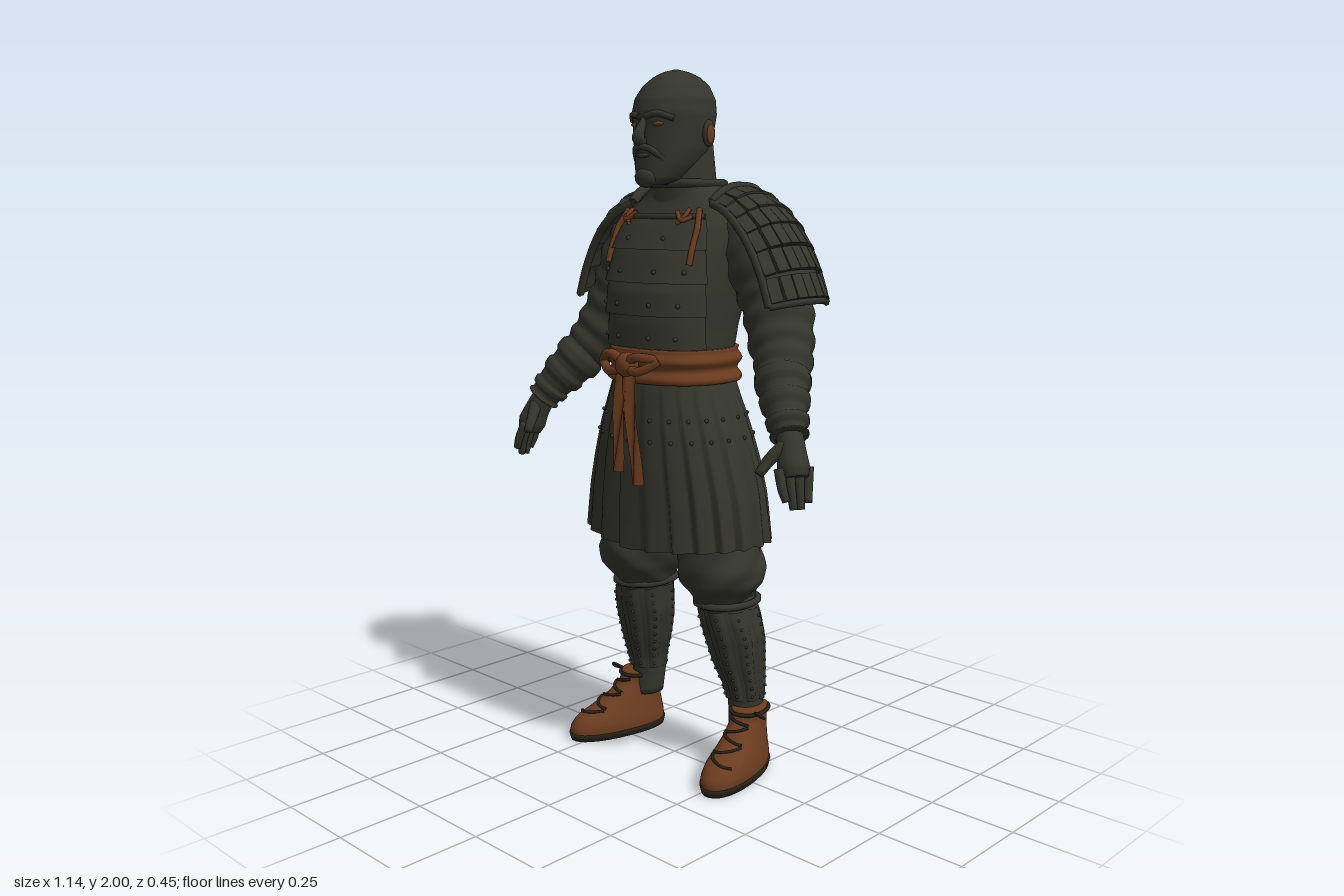
import * as THREE from 'three';
import { mergeGeometries } from 'three/addons/utils/BufferGeometryUtils.js';
import { ParametricGeometry } from 'three/addons/geometries/ParametricGeometry.js';

const V = (x, y, z) => new THREE.Vector3(x, y, z);
const spow = (t, e) => Math.sign(t) * Math.abs(t) ** e;

// Smooth closed surface through equal rings of points
function loftRings(rings, cap = true) {
  const n = rings[0].length, pos = [], idx = [];
  rings.forEach(r => r.forEach(p => pos.push(p.x, p.y, p.z)));
  for (let i = 0; i < rings.length - 1; i++) for (let j = 0; j < n; j++) {
    const a = i * n + j, b = i * n + (j + 1) % n;
    idx.push(a, a + n, b, b, a + n, b + n);
  }
  if (cap) [0, rings.length - 1].forEach(i => {
    const c = rings[i].reduce((s, p) => s.add(p), V(0, 0, 0)).divideScalar(n), k = pos.length / 3;
    pos.push(c.x, c.y, c.z);
    for (let j = 0; j < n; j++) {
      const a = i * n + j, b = i * n + (j + 1) % n;
      i ? idx.push(k, b, a) : idx.push(k, a, b);
    }
  });
  const g = new THREE.BufferGeometry();
  g.setAttribute('position', new THREE.Float32BufferAttribute(pos, 3));
  g.setIndex(idx);
  g.computeVertexNormals();
  return g;
}

// Upright body from rows [y, halfWidth, zFront, zBack, xCentre]: returns point at height y, angle a, offset
function body(rows, e = 0.85) {
  return (y, a, off = 0) => {
    let i = 0;
    while (i < rows.length - 2 && y > rows[i + 1][0]) i++;
    const t = (y - rows[i][0]) / (rows[i + 1][0] - rows[i][0]);
    const [, hx, zf, zb, cx] = [0, 1, 2, 3, 4].map(k => THREE.MathUtils.lerp(rows[i][k] || 0, rows[i + 1][k] || 0, t));
    return V(cx + (hx + off) * spow(Math.cos(a), e), y, (zf + zb) / 2 + ((zf - zb) / 2 + off) * spow(Math.sin(a), e));
  };
}
function loft(f, y0, y1, ny = 16, na = 36, cap = true) {
  return loftRings(Array.from({ length: ny + 1 }, (_, i) =>
    Array.from({ length: na }, (_, j) => f(y0 + (y1 - y0) * i / ny, j / na * Math.PI * 2))), cap);
}
// Limb along a curve; radius(t) may ripple
function limb(pts, radius, steps = 24, na = 16) {
  const c = new THREE.CatmullRomCurve3(pts.map(p => V(...p)));
  return loftRings(Array.from({ length: steps + 1 }, (_, i) => {
    const t = i / steps, p = c.getPoint(t), d = c.getTangent(t), r = radius(t);
    const X = V(0, 0, 1).addScaledVector(d, -d.z).normalize(), Z = X.clone().cross(d);
    return Array.from({ length: na }, (_, j) => {
      const a = j / na * Math.PI * 2;
      return p.clone().addScaledVector(X, r * Math.cos(a)).addScaledVector(Z, r * Math.sin(a));
    });
  }));
}
const lerpList = (l, t) => {
  const s = t * (l.length - 1), i = Math.min(Math.floor(s), l.length - 2);
  return THREE.MathUtils.lerp(l[i], l[i + 1], s - i);
};
const tube = (pts, r, closed = false, n = 20) => new THREE.TubeGeometry(
  new THREE.CatmullRomCurve3(pts.map(p => p.isVector3 ? p : V(...p)), closed), n, r, 6, closed);
const blob = (x, y, z, sx, sy, sz, n = 14) => new THREE.SphereGeometry(1, n, n >> 1).scale(sx, sy, sz).translate(x, y, z);
const sheet = (f, nu, nv) => new ParametricGeometry((u, v, t) => t.copy(f(u, v)), nu, nv);
const range = n => Array.from({ length: n }, (_, i) => i);

export function createModel() {
  const root = new THREE.Group();
  const mat = (name, color) => new THREE.MeshStandardMaterial({ name, color, side: THREE.DoubleSide });
  const dark = mat('dark olive', 0x34352c), brown = mat('brown leather', 0x6b3c1f);
  const sole = mat('dark sole', 0x28211a);

  const add = (name, m, ...geos) => {
    geos.forEach(g => g.deleteAttribute('uv'));
    const mesh = new THREE.Mesh(mergeGeometries(geos), m);
    mesh.name = name;
    root.add(mesh);
  };
  // Left part plus its mirrored right twin
  const pair = (name, m, ...geos) => {
    add('left ' + name, m, ...geos);
    add('right ' + name, m, ...geos.map(g => {
      const h = g.clone().scale(-1, 1, 1), ix = h.index.array;
      for (let i = 0; i < ix.length; i += 3) [ix[i], ix[i + 1]] = [ix[i + 1], ix[i]];
      return h;
    }));
  };

  // Head and face
  const head = body([[1.685, .03, .12, .05], [1.70, .058, .128, .0], [1.74, .08, .126, -.06], [1.78, .094, .124, -.10],
    [1.84, .104, .122, -.116], [1.88, .107, .127, -.125], [1.92, .102, .117, -.122], [1.955, .085, .09, -.105],
    [1.98, .06, .058, -.075], [1.995, .028, .025, -.04], [2, .006, 0, -.01]], 0.95);
  add('head', dark, loft(head, 1.685, 2, 42, 36));
  add('neck', dark, loft(body([[1.6, .10, .05, -.15], [1.68, .085, .045, -.13], [1.8, .08, .05, -.115]]), 1.6, 1.8, 8, 28));
  add('nose', dark, limb([[0, 1.865, .115], [0, 1.835, .133], [0, 1.81, .141], [0, 1.798, .12]], t => lerpList([.009, .013, .019, .012], t), 12, 10));
  add('moustache and beard', dark, blob(0, 1.705, .113, .038, .028, .026),
    tube([[-.052, 1.755, .098], [-.025, 1.783, .128], [0, 1.787, .134], [.025, 1.783, .128], [.052, 1.755, .098]], .009));
  add('lips', dark, blob(0, 1.764, .125, .024, .007, .011));
  pair('brow', dark, tube([[.012, 1.868, .127], [.045, 1.875, .118], [.08, 1.862, .085]], .009));
  pair('eye', brown, blob(.04, 1.848, .108, .02, .007, .012));
  pair('ear', dark, blob(.106, 1.825, -.025, .013, .038, .022));
  pair('inner ear', brown, blob(.115, 1.822, -.022, .007, .026, .014));

  // Torso, collar and breastplate bands
  const torso = body([[1.1, .175, .15, -.145], [1.22, .175, .152, -.145], [1.3, .183, .16, -.16], [1.4, .198, .158, -.19],
    [1.5, .208, .128, -.212], [1.57, .21, .092, -.217], [1.62, .19, .058, -.2], [1.66, .14, .035, -.17], [1.695, .092, .04, -.138]]);
  add('torso', dark, loft(torso, 1.1, 1.695, 30, 40));
  add('collar', dark, tube(range(20).map(i => torso(1.69, i / 20 * Math.PI * 2, .004)), .012, true, 40));
  const bands = [1.24, 1.33, 1.42, 1.51, 1.605];
  add('breastplate', dark, ...range(4).map(i => sheet((u, v) => {
    const y = THREE.MathUtils.lerp(bands[i], bands[i + 1], v), w = lerpList([1.25, 1.2, 1.1, .95, .8], (y - 1.24) / .365);
    return torso(y, Math.PI / 2 + (u * 2 - 1) * w, .016 - .011 * v);
  }, 24, 5)), tube(range(9).map(i => torso(1.6, Math.PI / 2 + (i / 4 - 1) * .8, .01)), .008));
  add('breastplate studs', dark, ...[1.27, 1.36, 1.45, 1.54].flatMap(y => [-.7, -.25, .25, .7].map(d => {
    const p = torso(y, Math.PI / 2 + d, .013);
    return blob(p.x, p.y, p.z, .007, .007, .007, 8);
  })));
  pair('front strap', brown, tube(range(7).map(i => torso(1.47 + i * .025, .82 + i * .012, .014)), .009),
    tube([torso(1.612, 1.25, .014), torso(1.59, 1.13, .02), torso(1.6, .98, .016)], .007),
    tube([torso(1.58, 1.2, .014), torso(1.6, 1.1, .02), torso(1.62, 1.06, .014)], .006));
  pair('back strap', brown, tube(range(5).map(i => torso(1.53 + i * .022, -.95, .005)), .006));

  // Belt with knot, bow and two hanging tails
  add('belt', brown, loft((y, a) => torso(y, a, .016 + .007 * Math.sin((y - 1.14) * 120)), 1.142, 1.238, 12, 40));
  add('belt knot', brown, blob(0, 1.195, .19, .036, .036, .032),
    tube([[0, 1.2, .195], [-.05, 1.225, .205], [-.11, 1.2, .175], [-.06, 1.175, .2], [0, 1.19, .195]], .014),
    tube([[0, 1.2, .195], [.05, 1.22, .2], [.1, 1.21, .175], [.05, 1.18, .2], [0, 1.19, .195]], .014));
  const tail = (x0, x1, y1, w) => sheet((u, v) => V(THREE.MathUtils.lerp(x0, x1, v) + (u - .5) * w,
    THREE.MathUtils.lerp(1.19, y1, v), .197 + .008 * Math.sin(u * 6 + v * 5) + .004 * v), 8, 14);
  add('belt tails', brown, tail(-.01, -.035, .89, .045), tail(.015, .045, .862, .048));

  // Pleated skirt with studs and lined hem
  const skirtBase = body([[.665, .307, .18, -.202], [.8, .287, .182, -.203], [.9, .262, .182, -.198], [1, .232, .178, -.183],
    [1.1, .195, .167, -.163], [1.18, .17, .15, -.145]], 0.9);
  const skirt = (y, a, off = 0) => {
    const t = (1.18 - y) / .5, k = (a / (Math.PI * 2) * 22) % 1;
    const p = skirtBase(y, a, off + .013 * t * (k * 2 - 1) * Math.min(1, (1 - k) * 5));
    p.y += .025 * Math.abs(Math.cos(a)) * t;
    return p;
  };
  add('skirt', dark, loft(skirt, .665, 1.18, 18, 176, false));
  add('skirt lining', brown, loft((y, a) => skirt(y, a, -.007), .668, .69, 2, 176, false));
  add('skirt studs', dark, ...[1.04, .98].flatMap(y => range(22).map(i => {
    const p = skirt(y, (i + .55) / 22 * Math.PI * 2, .002);
    return blob(p.x, p.y, p.z, .006, .006, .006, 8);
  })));

  // Sleeves, bracers and hands
  pair('sleeve', dark, limb([[.17, 1.57, -.095], [.24, 1.49, -.095], [.3, 1.37, -.09], [.355, 1.25, -.05], [.41, 1.165, .0]],
    t => lerpList([.09, .108, .1, .088, .068], t) + .004 * Math.sin(t * 45), 44, 22));
  pair('bracer', dark, limb([[.36, 1.24, -.04], [.41, 1.16, .01], [.46, 1.09, .055], [.492, 1.04, .08]],
    t => lerpList([.07, .073, .058, .048], t) + .004 * Math.sign(Math.sin(t * 26)), 36, 18));
  pair('hand', dark, limb([[.485, 1.05, .075], [.507, 1.005, .09], [.522, .965, .1], [.53, .94, .105]], t => lerpList([.036, .038, .043, .036], t), 12, 14),
    ...range(4).map(i => limb([[.508 + i * .011, .965, .14 - i * .026], [.528 + i * .007, .915 - i * .002, .15 - i * .026],
      [.54 + i * .006, [.885, .862, .86, .876][i], .148 - i * .022]], t => .0145 - .004 * t, 8, 8)),
    limb([[.497, 1.02, .105], [.475, .985, .14], [.462, .948, .168]], t => .021 - .008 * t, 8, 8));

  // Shoulder guards: overlapping small plates over a curved backing
  const arc = new THREE.QuadraticBezierCurve(new THREE.Vector2(.165, 1.675), new THREE.Vector2(.335, 1.63), new THREE.Vector2(.412, 1.375));
  const guard = (u, v, off = 0) => {
    const p = arc.getPoint(u), t = arc.getTangent(u), d = off - .045 * Math.abs(v) ** 2.5;
    return V(p.x - t.y * d, p.y + t.x * d, -.095 + .122 * v * (.88 + .12 * Math.min(1, u * 2.5)));
  };
  const plates = range(6).flatMap(r => range(7).map(c => {
    const u = (r + .5) / 6, v = (c + .5) / 3.5 - 1, e = .01;
    const du = guard(u + e, v).sub(guard(u - e, v)).normalize(), dv = guard(u, v + e).sub(guard(u, v - e)).normalize();
    const n = dv.clone().cross(du).normalize();
    const m = new THREE.Matrix4().makeBasis(du, n, du.clone().cross(n)).setPosition(guard(u, v, .006));
    return new THREE.BoxGeometry(.068, .012, .034).rotateZ(.1).applyMatrix4(m);
  }));
  pair('shoulder guard', dark, sheet((u, v) => guard(u, v * 2 - 1), 14, 14), ...plates,
    ...[-1, 1].map(v => tube(range(9).map(i => guard(i / 8, v, .004)), .012)),
    ...[0, 1].map(u => tube(range(9).map(i => guard(u, i / 4 - 1, .006)), u ? .009 : .015)));

  // Hips and baggy trousers
  add('hips', dark, loft(body([[.7, .13, .09, -.13], [.8, .18, .11, -.14], [1.1, .165, .13, -.13]]), .7, 1.1, 8, 28));
  const trousers = body([[.5, .07, .048, -.13, .16], [.53, .085, .07, -.138, .16], [.565, .113, .095, -.148, .165], [.61, .124, .105, -.15, .163],
    [.66, .115, .1, -.146, .155], [.75, .108, .1, -.14, .14], [.9, .1, .09, -.13, .11]], .95);
  pair('trouser leg', dark, loft((y, a) => trousers(y, a, .004 * Math.sin(a * 5 + y * 60)), .5, .9, 30, 36));

  // Shins with studded splints
  const shin = body([[.12, .045, -.035, -.14, .205], [.2, .049, -.04, -.146, .2], [.25, .055, -.028, -.148, .2], [.32, .069, 0, -.152, .19],
    [.4, .081, .024, -.154, .183], [.46, .077, .042, -.148, .176], [.54, .07, .05, -.13, .16]], .95);
  pair('shin', dark, loft(shin, .12, .54, 22, 28), tube(range(16).map(i => shin(.505, i / 8 * Math.PI, .006)), .011, true, 32));
  const splints = range(6).map(i => -.25 + i * .73);
  pair('shin guard', dark, ...splints.map(a => sheet((u, v) => shin(.21 + v * .28, a + (u - .5) * .55, .003 + .006 * Math.sin(u * Math.PI)), 6, 12)),
    ...splints.flatMap(a => range(10).map(k => {
      const p = shin(.225 + k * .027, a, .01);
      return blob(p.x, p.y, p.z, .005, .005, .005, 6);
    })));

  // Laced shoes turned slightly outwards
  const place = g => g.rotateY(.24).translate(.247, 0, .002);
  const shoe = body([[.015, .066, .164, -.163], [.04, .067, .163, -.162], [.065, .063, .142, -.157], [.09, .057, .085, -.152],
    [.12, .05, .03, -.148], [.155, .046, -.012, -.146], [.19, .047, -.025, -.148]], .9);
  pair('shoe', brown, place(loft(shoe, .015, .19, 20, 32)));
  pair('shoe sole', sole, place(loft(body([[0, .064, .162, -.162], [.022, .07, .167, -.167]], .9), 0, .022, 2, 32)));
  pair('shoe laces', sole, ...[.08, .1, .12, .14, .16].map((y, i) =>
    place(tube(range(5).map(k => shoe(y + (i % 2 ? -1 : 1) * (k - 2) * .004, Math.PI / 2 + (k - 2) * .32, .004)), .0045))),
    place(tube(range(12).map(i => shoe(.18, i / 6 * Math.PI, .004)), .006, true)),
    place(tube([[.04, .185, -.04], [.06, .195, -.02], [.075, .18, -.03], [.05, .178, -.045]], .004)));

  return root;
}
